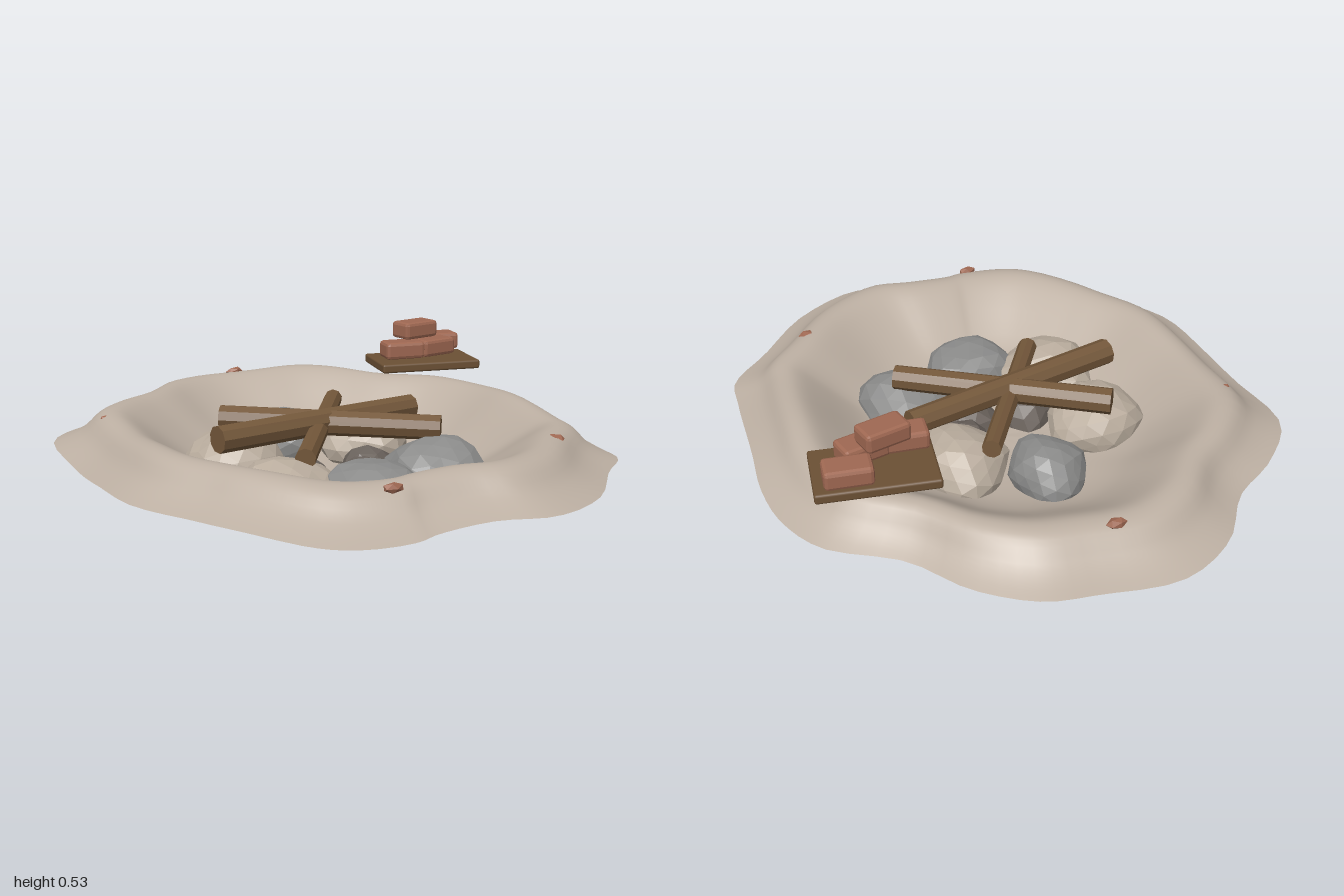
import * as THREE from 'three';
import { RoundedBoxGeometry } from 'three/addons/geometries/RoundedBoxGeometry.js';

const mat = (name, color, extra = {}) => {
  const m = new THREE.MeshStandardMaterial({ color, ...extra });
  m.name = name;
  return m;
};

export function createModel() {
  const group = new THREE.Group();
  const sand = mat('sand', 0xbdb0a3, { side: THREE.DoubleSide });
  const paleStone = mat('pale stone', 0xbbae9f, { flatShading: true });
  const greyStone = mat('grey stone', 0x8b8b8a, { flatShading: true });
  const darkStone = mat('dark stone', 0x6a625c, { flatShading: true });
  const wood = mat('log wood', 0x73573a, { flatShading: true });
  const plank = mat('plank wood', 0x6b5034);
  const brick = mat('brick', 0x9f6852, { flatShading: true });

  const add = (name, geometry, material, x, y, z, ry = 0) => {
    const mesh = new THREE.Mesh(geometry, material);
    mesh.name = name;
    mesh.position.set(x, y, z);
    mesh.rotation.y = ry;
    group.add(mesh);
    return mesh;
  };

  // Sandy pit: an irregular outline scaled inwards through a rim-and-bowl profile
  const outline = new THREE.CatmullRomCurve3([
    [-0.12, -1], [0.13, -0.96], [0.31, -0.92], [0.46, -0.79], [0.58, -0.58], [0.78, -0.42], [0.85, -0.25],
    [0.86, -0.07], [0.83, 0.12], [0.78, 0.45], [0.75, 0.58], [0.6, 0.71], [0.39, 0.91], [0.15, 1],
    [-0.02, 0.95], [-0.2, 0.94], [-0.28, 0.96], [-0.46, 0.93], [-0.56, 0.86], [-0.7, 0.62], [-0.75, 0.51],
    [-0.85, 0.3], [-0.86, 0.05], [-0.85, -0.2], [-0.82, -0.49], [-0.66, -0.65], [-0.48, -0.75], [-0.32, -0.92],
  ].map(([x, z]) => new THREE.Vector3(x, 0, z)), true);
  const profile = new THREE.SplineCurve([
    [0, 0.1], [0.2, 0.1], [0.38, 0.115], [0.5, 0.15], [0.59, 0.2], [0.68, 0.26], [0.75, 0.302],
    [0.8, 0.313], [0.85, 0.298], [0.9, 0.25], [0.95, 0.22], [1, 0.2],
  ].map(([r, y]) => new THREE.Vector2(r, y)));
  const sides = 96, rings = 33;
  const pos = [], index = [];
  for (let i = 0; i <= rings; i++) {
    const p = profile.getPoint(i / rings);
    for (let j = 0; j < sides; j++) {
      const o = outline.getPoint(j / sides);
      const a = Math.atan2(o.z, o.x);
      const wave = 0.006 * Math.sin(5 * a + 1) + 0.004 * Math.sin(9 * a);
      // Inner rings grow rounder than the ragged edge
      const round = 1 / Math.hypot(Math.cos(a) / 0.86, Math.sin(a) / 0.96);
      const k = THREE.MathUtils.lerp(round / o.length(), 1, 0.45 + 0.55 * p.x ** 3);
      pos.push(o.x * p.x * k, p.y + wave * p.x, o.z * p.x * k);
      if (i < rings) {
        const b = i * sides + j, c = i * sides + (j + 1) % sides;
        if (i > 0) index.push(b, c, b + sides);
        index.push(c, c + sides, b + sides);
      }
    }
  }
  const pit = new THREE.BufferGeometry();
  pit.setAttribute('position', new THREE.Float32BufferAttribute(pos, 3));
  pit.setIndex(index);
  pit.computeVertexNormals();
  add('sandPit', pit, sand, 0, 0, 0);

  // Faceted stone, its vertices pushed by a smooth rule
  const stone = (name, material, x, y, z, rx, ry, rz, seed, detail = 1) => {
    const g = new THREE.IcosahedronGeometry(1, detail);
    g.rotateY(seed);
    const p = g.attributes.position, v = new THREE.Vector3();
    for (let i = 0; i < p.count; i++) {
      v.fromBufferAttribute(p, i);
      const s = 1 + 0.05 * Math.sin(4 * v.x + seed) + 0.05 * Math.sin(5 * v.z + 2 * seed + 3 * v.y);
      p.setXYZ(i, v.x * s * rx, v.y * s * ry, v.z * s * rz);
    }
    g.computeVertexNormals();
    add(name, g, material, x, y, z);
  };

  // Ring of stones around the fire
  [
    [greyStone, -0.03, 0.15, -0.31, 0.13, 0.11, 0.145],
    [paleStone, -0.31, 0.15, -0.13, 0.18, 0.12, 0.155],
    [paleStone, -0.31, 0.13, 0.245, 0.18, 0.12, 0.18],
    [greyStone, -0.065, 0.14, 0.37, 0.155, 0.11, 0.15],
    [greyStone, 0.23, 0.135, 0.265, 0.165, 0.125, 0.175],
    [paleStone, 0.21, 0.15, -0.15, 0.165, 0.115, 0.165],
  ].forEach((s, i) => stone('ringStone', ...s, i * 1.3 + 0.4, 2));

  // Charred stones in the middle
  [
    [-0.14, 0.095, 0.07, 0.1, 0.09, 0.1],
    [0.05, 0.095, 0.13, 0.11, 0.085, 0.11],
    [0.13, 0.1, 0.01, 0.1, 0.08, 0.09],
  ].forEach((s, i) => stone('charredStone', darkStone, ...s, i + 0.7));

  // Brick-coloured pebbles scattered on the sand
  [
    [0.01, 0.305, -0.81, 0.035, 0.018, 0.02],
    [0.465, 0.3, 0.605, 0.032, 0.018, 0.03],
    [-0.26, 0.3, 0.8, 0.034, 0.016, 0.018],
    [-0.69, 0.3, -0.34, 0.015, 0.014, 0.015],
    [-0.14, 0.11, -0.27, 0.03, 0.02, 0.03],
  ].forEach((s, i) => stone('pebble', brick, ...s, i * 2 + 0.3, 0));

  // Crossed logs
  const log = (a, b, r) => {
    const from = new THREE.Vector3(...a), to = new THREE.Vector3(...b);
    const dir = to.clone().sub(from);
    const mesh = add('log', new THREE.CylinderGeometry(r * 0.95, r, dir.length(), 9), wood, 0, 0, 0);
    mesh.position.copy(from).add(to).multiplyScalar(0.5);
    mesh.quaternion.setFromUnitVectors(new THREE.Vector3(0, 1, 0), dir.normalize());
  };
  log([-0.455, 0.29, 0.055], [0.34, 0.285, -0.05], 0.046);
  log([-0.315, 0.285, -0.225], [0.275, 0.28, 0.24], 0.045);
  log([-0.25, 0.25, 0.265], [0.165, 0.285, -0.295], 0.034);

  // Plank with a small pile of bricks
  add('plank', new RoundedBoxGeometry(0.38, 0.033, 0.235, 2, 0.008), plank, 0.578, 0.373, -0.343, -0.24);
  [
    [0.465, 0.436, -0.305, 0.15],
    [0.6, 0.436, -0.305, 0.13],
    [0.68, 0.436, -0.4, -0.22],
    [0.545, 0.5, -0.345, 0.14],
  ].forEach(([x, y, z, r], i) =>
    add('brick', new RoundedBoxGeometry(0.15, 0.062, 0.092, 1, 0.012), brick, x, y, z, i === 0 ? -0.2 : r));

  return group;
}
